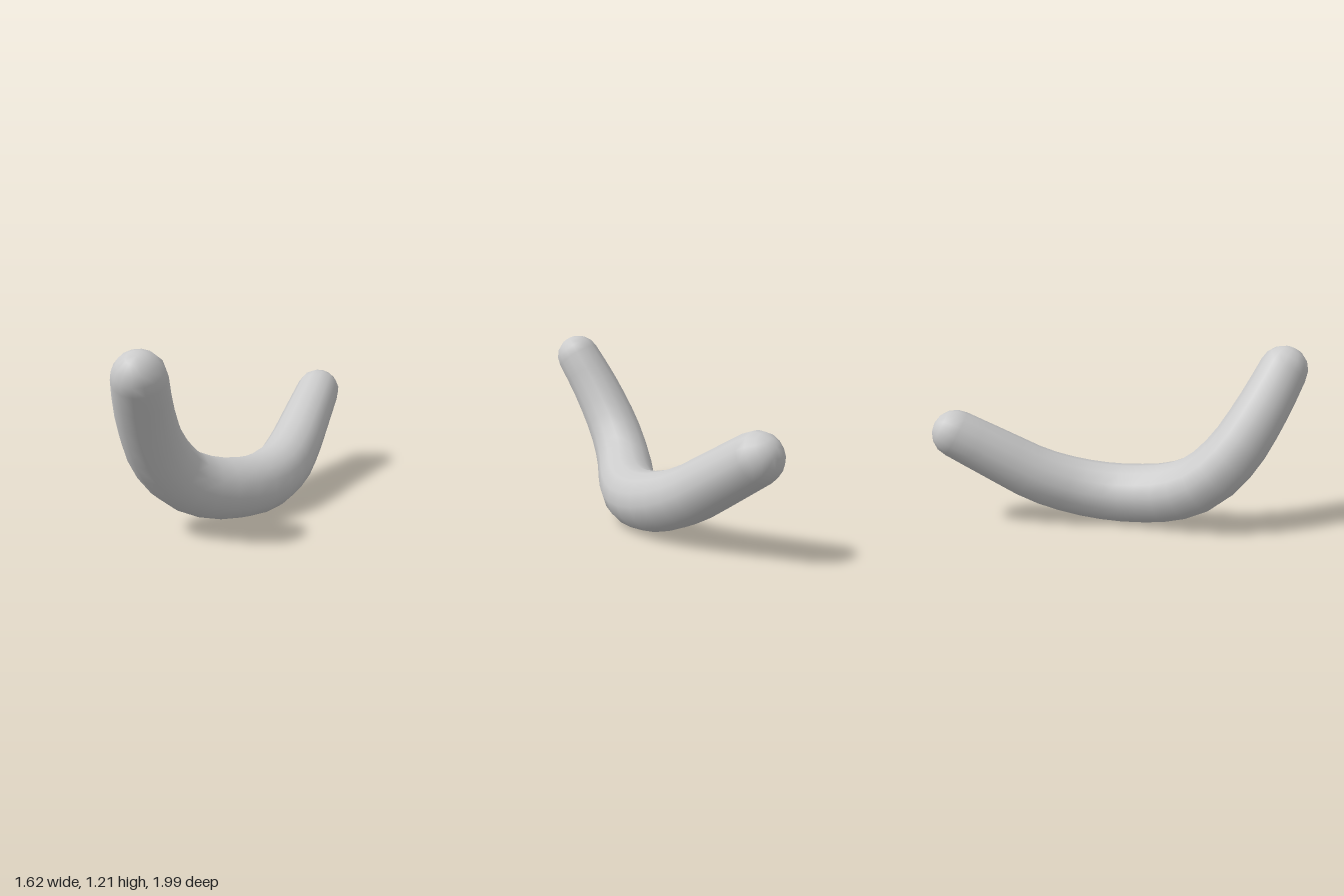
import * as THREE from 'three';

const SIDES = 14, STEPS = 20, CAP = 4;

// Centre line from the tall front end to the low back end
const path = new THREE.CatmullRomCurve3([
  [-0.66, 1.06, 0.84], [-0.64, 0.83, 0.69], [-0.565, 0.54, 0.51],
  [-0.43, 0.35, 0.385], [-0.25, 0.25, 0.29], [-0.07, 0.21, 0.19],
  [0.1, 0.2, 0.06], [0.26, 0.235, -0.13], [0.39, 0.325, -0.36],
  [0.52, 0.475, -0.6], [0.65, 0.63, -0.84],
].map((p) => new THREE.Vector3(...p)));

// Slightly thicker in the middle than at the ends
const radiusAt = (u) => 0.158 + 0.04 * Math.sin(Math.PI * u);

function roundedTube() {
  const frames = path.computeFrenetFrames(STEPS, false);
  const positions = [], index = [];

  const addRing = (i, radius, shift) => {
    const centre = path.getPointAt(i / STEPS).addScaledVector(frames.tangents[i], shift);
    for (let s = 0; s < SIDES; s++) {
      const a = (s / SIDES) * Math.PI * 2;
      const p = centre.clone()
        .addScaledVector(frames.normals[i], Math.cos(a) * radius)
        .addScaledVector(frames.binormals[i], Math.sin(a) * radius);
      positions.push(p.x, p.y, p.z);
    }
  };
  const addPole = (i, shift) => {
    const p = path.getPointAt(i / STEPS).addScaledVector(frames.tangents[i], shift);
    positions.push(p.x, p.y, p.z);
  };

  // Rounded start, body rings, rounded finish
  const r0 = radiusAt(0), r1 = radiusAt(1);
  addPole(0, -r0);
  for (let k = 1; k < CAP; k++) {
    const a = (k / CAP) * Math.PI / 2;
    addRing(0, r0 * Math.sin(a), -r0 * Math.cos(a));
  }
  for (let i = 0; i <= STEPS; i++) addRing(i, radiusAt(i / STEPS), 0);
  for (let k = CAP - 1; k > 0; k--) {
    const a = (k / CAP) * Math.PI / 2;
    addRing(STEPS, r1 * Math.sin(a), r1 * Math.cos(a));
  }
  addPole(STEPS, r1);

  // Join neighbouring rings, then close both poles
  const rings = STEPS + 1 + 2 * (CAP - 1);
  const last = rings * SIDES + 1;
  const at = (ring, s) => 1 + ring * SIDES + (s % SIDES);
  for (let s = 0; s < SIDES; s++) {
    index.push(0, at(0, s + 1), at(0, s));
    for (let r = 0; r < rings - 1; r++) {
      index.push(at(r, s), at(r, s + 1), at(r + 1, s));
      index.push(at(r, s + 1), at(r + 1, s + 1), at(r + 1, s));
    }
    index.push(last, at(rings - 1, s), at(rings - 1, s + 1));
  }

  const geometry = new THREE.BufferGeometry();
  geometry.setAttribute('position', new THREE.Float32BufferAttribute(positions, 3));
  geometry.setIndex(index);
  geometry.computeVertexNormals();
  return geometry;
}

export function createModel() {
  const group = new THREE.Group();
  group.name = 'bentRod';
  const body = new THREE.Mesh(roundedTube(), new THREE.MeshStandardMaterial({ color: 0xcccccc }));
  body.name = 'curvedBody';
  group.add(body);
  return group;
}
